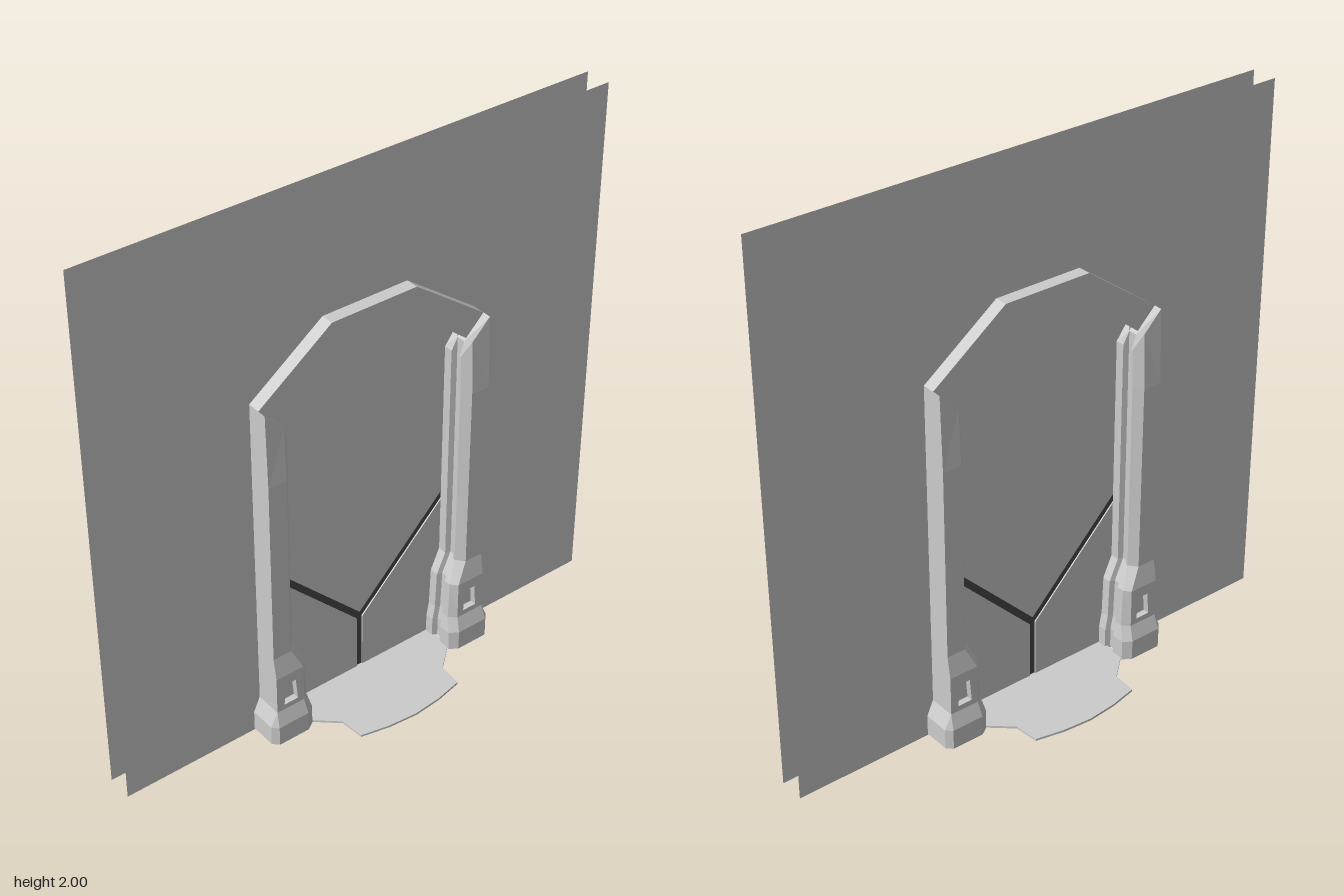
import * as THREE from 'three';

const grey = new THREE.MeshStandardMaterial({ color: 0xcccccc, flatShading: true });
const thin = new THREE.MeshStandardMaterial({ color: 0xcccccc, flatShading: true, side: THREE.DoubleSide });
const dark = new THREE.MeshStandardMaterial({ color: 0x484848, flatShading: true });

function part(name, geometry, material = grey) {
  const mesh = new THREE.Mesh(geometry, material);
  mesh.name = name;
  return mesh;
}

const shapeOf = (pts) => new THREE.Shape(pts.map(([x, y]) => new THREE.Vector2(x, y)));
// right-hand points, then the same points mirrored back to the start
const mirrored = (pts) => [...pts, ...pts.map(([x, y]) => [-x, y]).reverse()];

function slab(pts, z0, z1) {
  const g = new THREE.ExtrudeGeometry(shapeOf(pts), { depth: z1 - z0, bevelEnabled: false });
  return g.translate(0, 0, z0);
}

// flat-shaded surface from polygons of three or four corners; side -1 mirrors in x
function faces(polys, side) {
  const pos = [];
  for (const p of polys) {
    for (let i = 1; i < p.length - 1; i++) {
      const tri = side > 0 ? [p[0], p[i], p[i + 1]] : [p[0], p[i + 1], p[i]];
      for (const [x, y, z] of tri) pos.push(x * side, y, z);
    }
  }
  const g = new THREE.BufferGeometry();
  g.setAttribute('position', new THREE.Float32BufferAttribute(pos, 3));
  g.computeVertexNormals();
  return g;
}

// pillar cross-section: outer side, front, chamfer, inner side with a long slot
function ring(y, xo, xfo, xfi, xi, zf, zc) {
  const back = 0.022, slot = xi + 0.02;
  const pts = [
    [xo, back], [xo, zc], [xfo, zf], [xfi, zf], [xi, zc],
    [xi, 0.097], [slot, 0.092], [slot, 0.06], [xi, 0.055], [xi, back],
  ];
  return pts.map(([x, z]) => [x, typeof y === 'function' ? y(x) : y, z]);
}

// mitred top of the pillar
const mitre = (x) => (x >= 0.375 ? 1.3 + (x - 0.375) : 1.24 + (x - 0.35) * 2.4);

const pillarRings = [
  ring(0.045, 0.47, 0.45, 0.33, 0.3, 0.165, 0.145),
  ring(0.12, 0.47, 0.45, 0.33, 0.3, 0.165, 0.145),
  ring(0.175, 0.445, 0.445, 0.335, 0.31, 0.148, 0.125),
  ring(0.32, 0.445, 0.445, 0.335, 0.315, 0.148, 0.125),
  ring(0.4, 0.445, 0.445, 0.375, 0.35, 0.135, 0.105),
  ring(1.1, 0.445, 0.445, 0.375, 0.35, 0.135, 0.105),
  ring(mitre, 0.445, 0.445, 0.375, 0.35, 0.127, 0.1),
];

function pillar(side) {
  const group = new THREE.Group();
  group.name = side > 0 ? 'leftPillar' : 'rightPillar';
  const polys = [];
  for (let i = 0; i < pillarRings.length - 1; i++) {
    const lo = pillarRings[i], hi = pillarRings[i + 1];
    for (let j = 0; j < lo.length; j++) {
      if (i === 2 && j === 2) continue; // front of the foot holds the niche
      const k = (j + 1) % lo.length;
      polys.push([lo[j], hi[j], hi[k], lo[k]]);
    }
  }
  // top cap
  const top = pillarRings[pillarRings.length - 1];
  const flat = top.map(([x, , z]) => new THREE.Vector2(x, -z));
  for (const [a, b, c] of THREE.ShapeUtils.triangulateShape(flat, [])) {
    const area = flat[b].clone().sub(flat[a]).cross(flat[c].clone().sub(flat[a]));
    polys.push(area > 0 ? [top[a], top[b], top[c]] : [top[a], top[c], top[b]]);
  }
  group.add(part('pillarShell', faces(polys, side)));

  // front panel of the foot with its opening
  const hole = [[0.36, 0.195], [0.415, 0.195], [0.408, 0.28], [0.367, 0.28]];
  const flip = (pts) => pts.map(([x, y]) => [x * side, y]);
  const panel = shapeOf(flip([[0.335, 0.175], [0.445, 0.175], [0.445, 0.32], [0.335, 0.32]]));
  panel.holes.push(shapeOf(flip(hole)));
  group.add(part('footPanel', new THREE.ShapeGeometry(panel).translate(0, 0, 0.148)));

  // niche behind the opening
  const front = hole.map(([x, y]) => [x, y, 0.148]);
  const back = hole.map(([x, y]) => [x, y, 0.125]);
  const niche = front.map((p, i) => [p, front[(i + 1) % 4], back[(i + 1) % 4], back[i]]);
  niche.push(back);
  group.add(part('footNiche', faces(niche, side), thin));
  return group;
}

// one face of the doorway: wall sheet, arch and two pillars
function doorwaySide(name) {
  const group = new THREE.Group();
  group.name = name;
  const wall = shapeOf(mirrored([
    [0.165, 1.52], [0.38, 1.345], [0.38, 0.04], [0.98, 0.04], [0.98, 2],
  ]));
  group.add(part('wall', new THREE.ShapeGeometry(wall).translate(0, 0, 0.048), thin));
  const arch = mirrored([[0.165, 1.47], [0.375, 1.3], [0.445, 1.37], [0.165, 1.575]]);
  group.add(part('arch', slab(arch, 0.024, 0.095)));
  group.add(pillar(1), pillar(-1));
  return group;
}

export function createModel() {
  const model = new THREE.Group();
  model.name = 'doorway';

  const front = doorwaySide('frontSide');
  const back = doorwaySide('backSide');
  back.rotation.y = Math.PI;
  model.add(front, back);

  // three door leaves separated by a dark Y-shaped seam
  const lower = [[0.012, 0], [0.405, 0], [0.405, 0.667], [0.012, 0.268]];
  const upper = mirrored([[0, 0.293], [0.405, 0.703], [0.405, 1.3], [0.165, 1.475], [0.01, 1.482]]);
  const seam = mirrored([[0.012, 0], [0.012, 0.268], [0.405, 0.667], [0.405, 0.703], [0.001, 0.293]]);
  model.add(part('leftDoorLeaf', slab(lower, -0.021, 0.021)));
  model.add(part('rightDoorLeaf', slab(lower.map(([x, y]) => [-x, y]).reverse(), -0.021, 0.021)));
  model.add(part('upperDoorLeaf', slab(upper.filter((p, i) => i !== upper.length - 1), -0.021, 0.021)));
  model.add(part('doorSeam', slab(seam, -0.016, 0.016), dark));

  // threshold plate lying across the opening
  const edge = [[0.31, 0.13], [0.22, 0.21], [0.212, 0.3], [0.11, 0.322]];
  const half = [...edge, [0, 0.332], ...edge.map(([x, z]) => [-x, z]).reverse()];
  const plate = [...half, ...half.map(([x, z]) => [-x, -z])];
  const floor = slab(plate, 0, 0.008).rotateX(-Math.PI / 2).translate(0, 0.042, 0);
  model.add(part('threshold', floor));

  return model;
}
